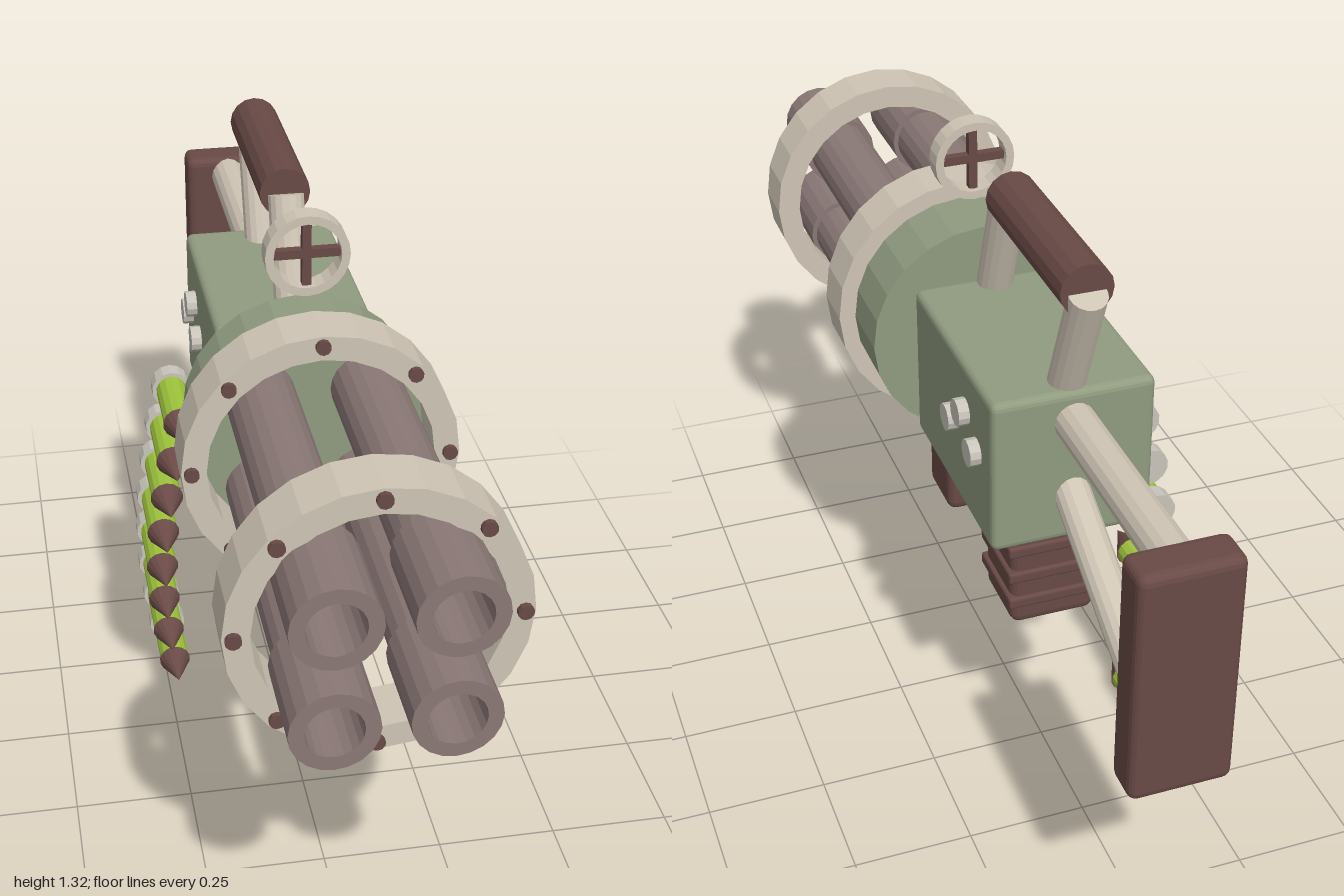
import * as THREE from 'three';
import { RoundedBoxGeometry } from 'three/addons/geometries/RoundedBoxGeometry.js';

const CX = 0.02;   // centre line of the gun
const AY = 0.873;  // height of the barrel axis

export function createModel() {
  const mat = (name, color) => {
    const m = new THREE.MeshStandardMaterial({ color, flatShading: true });
    m.name = name;
    return m;
  };
  const green = mat('sage green', 0x909b80);
  const beige = mat('warm beige', 0xcfc5b5);
  const brown = mat('dark brown', 0x694a46);
  const steel = mat('mauve steel', 0x8a7876);
  const lime = mat('lime green', 0x9fc53c);
  const pale = mat('pale grey', 0xc9c5bb);

  const model = new THREE.Group();
  model.name = 'rotaryGun';

  const add = (name, geo, material, x, y, z, parent = model) => {
    const m = new THREE.Mesh(geo, material);
    m.name = name;
    m.position.set(x, y, z);
    parent.add(m);
    return m;
  };
  const block = (name, material, w, y0, y1, z0, z1, r) =>
    add(name, new RoundedBoxGeometry(w, y1 - y0, z1 - z0, 2, r), material, CX, (y0 + y1) / 2, (z0 + z1) / 2);
  // straight rod between two points on the centre plane
  const rod = (name, material, y0, z0, y1, z1, r, sides = 16) => {
    const a = new THREE.Vector3(CX, y0, z0), b = new THREE.Vector3(CX, y1, z1);
    const m = add(name, new THREE.CylinderGeometry(r, r, a.distanceTo(b), sides), material, 0, 0, 0);
    m.position.copy(a).add(b).multiplyScalar(0.5);
    m.quaternion.setFromUnitVectors(new THREE.Vector3(0, 1, 0), b.sub(a).normalize());
    return m;
  };
  // lathe whose axis runs along z
  const turned = (pts, sides) =>
    new THREE.LatheGeometry(pts.map(p => new THREE.Vector2(...p)), sides).rotateX(Math.PI / 2);
  const ringGeo = (ri, ro, z0, z1) =>
    turned([[ri, z0], [ro, z0], [ro, z1], [ri, z1], [ri, z0]], 24);

  // Barrels with wider, hollow muzzles
  const barrel = turned([[0.07, 0.2], [0.07, 0.8], [0.081, 0.8], [0.081, 1],
    [0.053, 1], [0.053, 0.85], [0, 0.85]], 20);
  for (const sx of [-1, 1]) for (const sy of [-1, 1])
    add('barrel', barrel, steel, CX + sx * 0.106, AY + sy * 0.106, 0);

  // Clamp rings with eight bolts each
  const bolt = new THREE.CylinderGeometry(0.015, 0.015, 0.03, 10).rotateX(Math.PI / 2);
  for (const [z0, z1] of [[0.21, 0.318], [0.746, 0.856]]) {
    add('clampRing', ringGeo(0.226, 0.276, z0, z1), beige, CX, AY, 0);
    for (let i = 0; i < 8; i++) {
      const a = i * Math.PI / 4;
      add('ringBolt', bolt, brown, CX + 0.256 * Math.cos(a), AY + 0.256 * Math.sin(a), z1 - 0.004);
    }
  }

  // Drum and receiver
  add('drum', new THREE.CylinderGeometry(0.241, 0.241, 0.15, 24).rotateX(Math.PI / 2), green, CX, AY, 0.142);
  block('receiver', green, 0.328, 0.692, 1.024, -0.457, 0.022, 0.015);

  // Buttons on both sides of the receiver
  const button = new THREE.CylinderGeometry(0.028, 0.028, 0.04, 12).rotateZ(Math.PI / 2);
  for (const s of [-1, 1])
    for (const [y, z] of [[0.874, -0.233], [0.925, -0.301], [0.874, -0.368]])
      add('button', button, pale, CX + s * 0.166, y, z);

  // Grips, the rear one ribbed
  block('frontGrip', brown, 0.18, 0.434, 0.692, 0.045, 0.19, 0.02);
  block('rearGrip', brown, 0.18, 0.425, 0.7, -0.365, -0.197, 0.02);
  for (const y of [0.485, 0.548, 0.611])
    block('gripRib', brown, 0.198, y - 0.013, y + 0.013, -0.372, -0.195, 0.006);

  // Trigger guard
  rod('triggerGuardFront', beige, 0.7, -0.112, 0.462, -0.083, 0.017, 10);
  rod('triggerGuardBottom', beige, 0.462, -0.078, 0.49, -0.23, 0.017, 10);

  // Carrying handle
  rod('handlePostFront', beige, 1.0, 0.005, 1.262, -0.09, 0.037);
  rod('handlePostRear', beige, 1.0, -0.4, 1.255, -0.505, 0.037);
  rod('carryHandle', brown, 1.261, -0.1, 1.261, -0.5, 0.052);

  // Stock
  rod('stockRodUpper', beige, 0.959, -0.44, 0.959, -0.93, 0.041);
  rod('stockRodLower', beige, 0.8, -0.44, 0.546, -0.925, 0.037);
  block('buttPlate', brown, 0.2, 0.51, 1.003, -1, -0.912, 0.018);

  // Sight ring with cross hair
  add('sightRing', ringGeo(0.067, 0.084, 0.115, 0.158), beige, CX, 1.239, 0);
  add('sightBarVertical', new THREE.BoxGeometry(0.018, 0.137, 0.018), brown, CX, 1.239, 0.137);
  add('sightBarHorizontal', new THREE.BoxGeometry(0.137, 0.018, 0.018), brown, CX, 1.239, 0.137);

  // Hanging ammunition belt, curved outward
  const base = new THREE.CylinderGeometry(0.042, 0.042, 0.037, 14).rotateX(Math.PI / 2);
  const casing = new THREE.CylinderGeometry(0.033, 0.033, 0.16, 14).rotateX(Math.PI / 2);
  const tip = new THREE.ConeGeometry(0.036, 0.082, 14).rotateX(Math.PI / 2);
  for (let i = 0; i < 8; i++) {
    const round = new THREE.Group();
    round.name = 'round';
    round.position.set(-0.215 - 0.042 * Math.sin(Math.PI * i / 8), 0.771 - 0.1035 * i, -0.235 - 0.0188 * i);
    add('roundBase', base, pale, 0, 0, 0.0185, round);
    add('roundCasing', casing, lime, 0, 0, 0.107, round);
    add('roundTip', tip, brown, 0, 0, 0.225, round);
    model.add(round);
  }
  return model;
}
